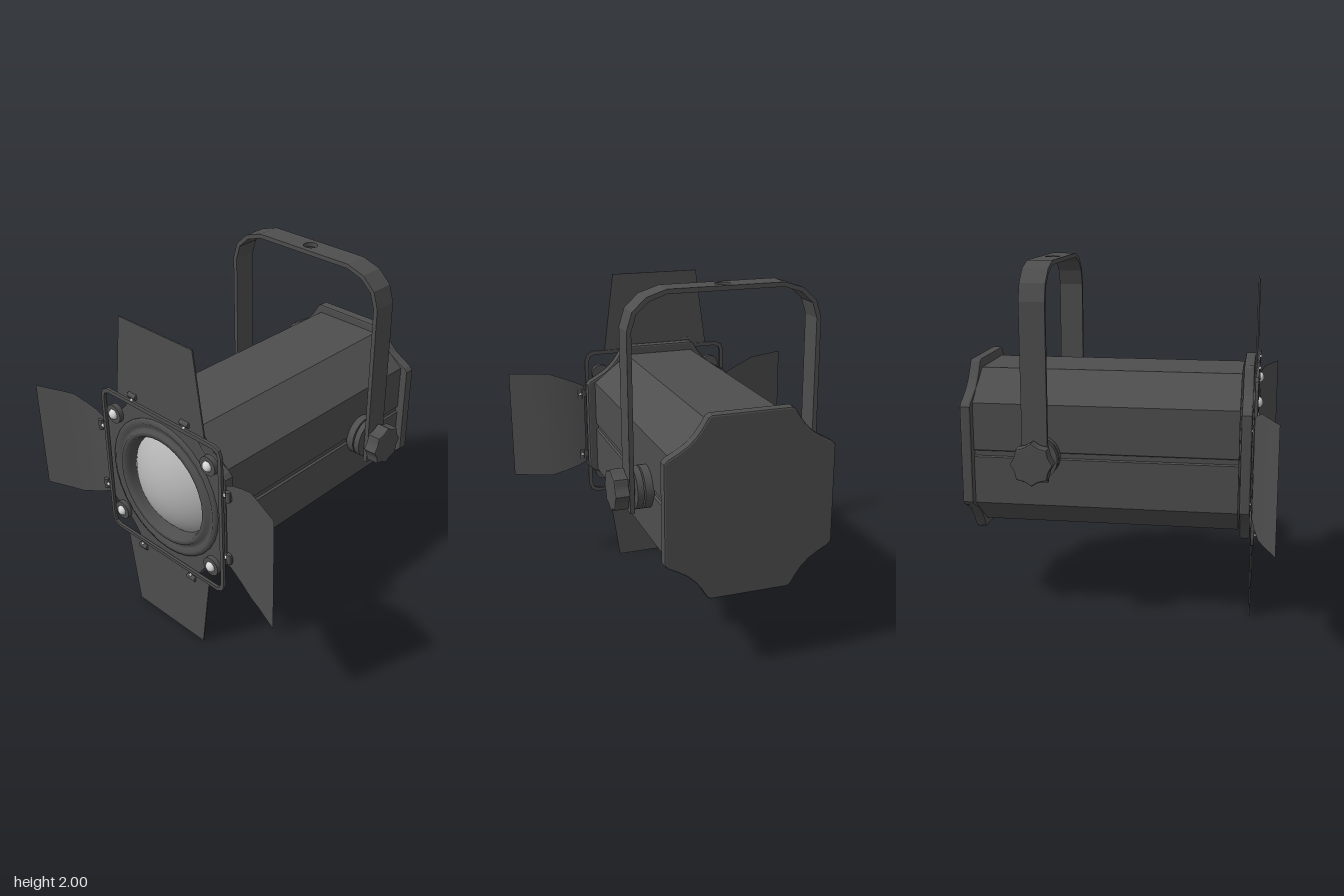
import * as THREE from 'three';

const CY = 0.945; // height of the optical axis

export function createModel() {
  const root = new THREE.Group();
  const mat = (name, color, side = THREE.FrontSide) => {
    const m = new THREE.MeshStandardMaterial({ color, side });
    m.name = name;
    return m;
  };
  const black = mat('black paint', 0x4e4e4e, THREE.DoubleSide);
  const glass = mat('lens glass', 0xb4b4b4);
  const steel = mat('bright steel', 0xd8d8d8);

  const add = (name, geo, material = black, x = 0, y = 0, z = 0) => {
    const m = new THREE.Mesh(geo, material);
    m.name = name;
    m.position.set(x, y, z);
    root.add(m);
    return m;
  };
  const shapeOf = pts => new THREE.Shape(pts.map(p => new THREE.Vector2(p[0], p[1])));
  const circle = (r, x = 0, y = 0) => new THREE.Path().absarc(x, y, r, 0, Math.PI * 2, true);
  // Extrudes a (z, y) outline along x from x0 to x1, with an optional bevel
  const alongX = (shape, x0, x1, bevel = 0) => {
    const g = new THREE.ExtrudeGeometry(shape, {
      depth: x1 - x0 - 2 * bevel, bevelEnabled: bevel > 0, bevelSize: bevel,
      bevelThickness: bevel, bevelOffset: -bevel, bevelSegments: 2, curveSegments: 32,
    });
    return g.rotateY(Math.PI / 2).translate(x0 + bevel, 0, 0);
  };
  // Repeats one corner of an outline in all four quadrants
  const fourWay = q => {
    const r = [...q].reverse();
    return shapeOf([
      ...q, ...r.map(([a, b]) => [a, -b]),
      ...q.map(([a, b]) => [-a, -b]), ...r.map(([a, b]) => [-a, b]),
    ]);
  };

  // Housing: eight-sided tube with a groove along each side
  const body = fourWay([[0.21, 0.447], [0.42, 0.285], [0.42, 0.02], [0.408, 0.014]]);
  add('housing', alongX(body, -0.66, 0.82), black, 0, CY);

  // End plates with scooped corners
  const plate = () => fourWay([
    [0.215, 0.497], [0.235, 0.485], [0.265, 0.435], [0.295, 0.395], [0.34, 0.352],
    [0.395, 0.318], [0.445, 0.292], [0.465, 0.27],
  ]);
  add('rearPlate', alongX(plate(), 0.802, 0.863, 0.01), black, 0, CY);
  const front = plate();
  front.holes.push(circle(0.36));
  add('frontPlate', alongX(front, -0.727, -0.668, 0.01), black, 0, CY);

  // Stepped lens ring and domed lens
  const ring = [[0.41, 0.70], [0.41, 0.735], [0.385, 0.745], [0.365, 0.73], [0.345, 0.73],
    [0.335, 0.748], [0.31, 0.748], [0.30, 0.72], [0.29, 0.66]];
  add('lensRing', new THREE.LatheGeometry(ring.map(p => new THREE.Vector2(...p)), 32)
    .rotateZ(Math.PI / 2), black, 0, CY);
  add('lens', new THREE.SphereGeometry(0.42, 40, 14, 0, Math.PI * 2, 0, 0.8)
    .rotateZ(Math.PI / 2), glass, -0.375, CY);

  // Wire accessory frame
  const frame = fourWay([[0.41, 0.468], [0.447, 0.45], [0.462, 0.41]]);
  frame.holes.push(fourWay([[0.402, 0.449], [0.432, 0.435], [0.443, 0.402]]));
  add('accessoryFrame', alongX(frame, -0.752, -0.733, 0.004), black, 0, CY);

  // Corner clips with bright bolt heads
  for (const sy of [1, -1]) for (const sz of [1, -1]) {
    add('cornerClip', new THREE.CylinderGeometry(0.055, 0.055, 0.03, 20)
      .rotateZ(Math.PI / 2), black, -0.738, CY + sy * 0.325, sz * 0.365);
    add('bolt', new THREE.SphereGeometry(0.03, 16, 8, 0, Math.PI * 2, 0, Math.PI / 2)
      .scale(1, 0.75, 1).rotateZ(Math.PI / 2), steel, -0.753, CY + sy * 0.325, sz * 0.365);
  }

  // Upper and lower barn doors with their hinges
  for (const s of [1, -1]) {
    const door = shapeOf([[-0.335, s * 0.47], [0.335, s * 0.47], [0.27, s * 0.94], [-0.27, s * 0.94]]);
    add(s > 0 ? 'upperDoor' : 'lowerDoor', alongX(door, -0.739, -0.731), black, 0, CY);
    for (const z of [-0.2, 0.2]) {
      add('doorHinge', new THREE.CylinderGeometry(0.015, 0.015, 0.06, 10)
        .rotateX(Math.PI / 2), black, -0.742, CY + s * 0.502, z);
      add('hingeRivet', new THREE.SphereGeometry(0.009, 8, 6), steel, -0.752, CY + s * 0.48, z);
    }
  }

  // Side barn doors: sheets that widen and curve forward
  const stations = [[0.475, -0.733, 0.25], [0.53, -0.738, 0.278], [0.60, -0.752, 0.305],
    [0.685, -0.774, 0.335], [0.76, -0.80, 0.335], [0.84, -0.831, 0.335], [0.92, -0.862, 0.335]];
  for (const s of [1, -1]) {
    const g = new THREE.PlaneGeometry(1, 2, stations.length - 1, 1);
    const p = g.attributes.position;
    for (let i = 0; i < p.count; i++) {
      const [z, x, h] = stations[i % stations.length];
      p.setXYZ(i, x, p.getY(i) * h, z * s);
    }
    g.computeVertexNormals();
    add(s > 0 ? 'leftDoor' : 'rightDoor', g, black, 0, CY);
    for (const y of [-0.2, 0.2]) {
      add('doorHinge', new THREE.CylinderGeometry(0.015, 0.015, 0.06, 10),
        black, -0.742, CY + y, s * 0.5);
      add('hingeTab', new THREE.BoxGeometry(0.01, 0.04, 0.07), black, -0.74, CY + y, s * 0.485);
      add('hingeRivet', new THREE.SphereGeometry(0.011, 8, 6), steel, -0.745, CY + y, s * 0.5 - s * 0.02);
      add('hingeRivet', new THREE.SphereGeometry(0.009, 8, 6), steel, -0.732, CY + y, s * 0.5);
    }
  }

  // Yoke: two bent legs joined by a drilled top strap
  const leg = [[0.535, 0.825], [0.535, 1.80], [0.505, 1.895], [0.43, 1.965], [0.32, 2.0],
    [0.32, 1.975], [0.417, 1.942], [0.483, 1.882], [0.51, 1.797], [0.51, 0.825]];
  for (const s of [1, -1]) {
    add('yokeLeg', alongX(shapeOf(leg.map(([z, y]) => [z * s, y])), 0.36, 0.5));
  }
  const strap = shapeOf([[-0.07, -0.32], [0.07, -0.32], [0.07, 0.32], [-0.07, 0.32]]);
  strap.holes.push(circle(0.04));
  add('yokeStrap', new THREE.ExtrudeGeometry(strap, { depth: 0.025, bevelEnabled: false, curveSegments: 24 })
    .rotateX(-Math.PI / 2), black, 0.43, 1.975, 0);

  // Pivot washers and scalloped locking knobs
  const scallop = [];
  for (let i = 0; i < 64; i++) {
    const a = (i / 64) * Math.PI * 2;
    const r = 0.118 - 0.016 * Math.abs(Math.sin(4 * a));
    scallop.push([r * Math.cos(a), r * Math.sin(a)]);
  }
  for (const s of [1, -1]) {
    const disc = (name, r, z0, z1) => add(name, new THREE.CylinderGeometry(r, r, z1 - z0, 32)
      .rotateX(Math.PI / 2), black, 0.43, CY, s * (z0 + z1) / 2);
    disc('innerWasher', 0.117, 0.415, 0.462);
    disc('outerWasher', 0.117, 0.47, 0.505);
    disc('pivotShaft', 0.06, 0.41, 0.56);
    const knob = new THREE.ExtrudeGeometry(shapeOf(scallop), {
      depth: 0.064, bevelSize: 0.008, bevelThickness: 0.008, bevelOffset: -0.008, bevelSegments: 2,
    });
    add('lockingKnob', knob.translate(0, 0, -0.032), black, 0.43, CY, s * 0.584);
  }

  return root;
}
